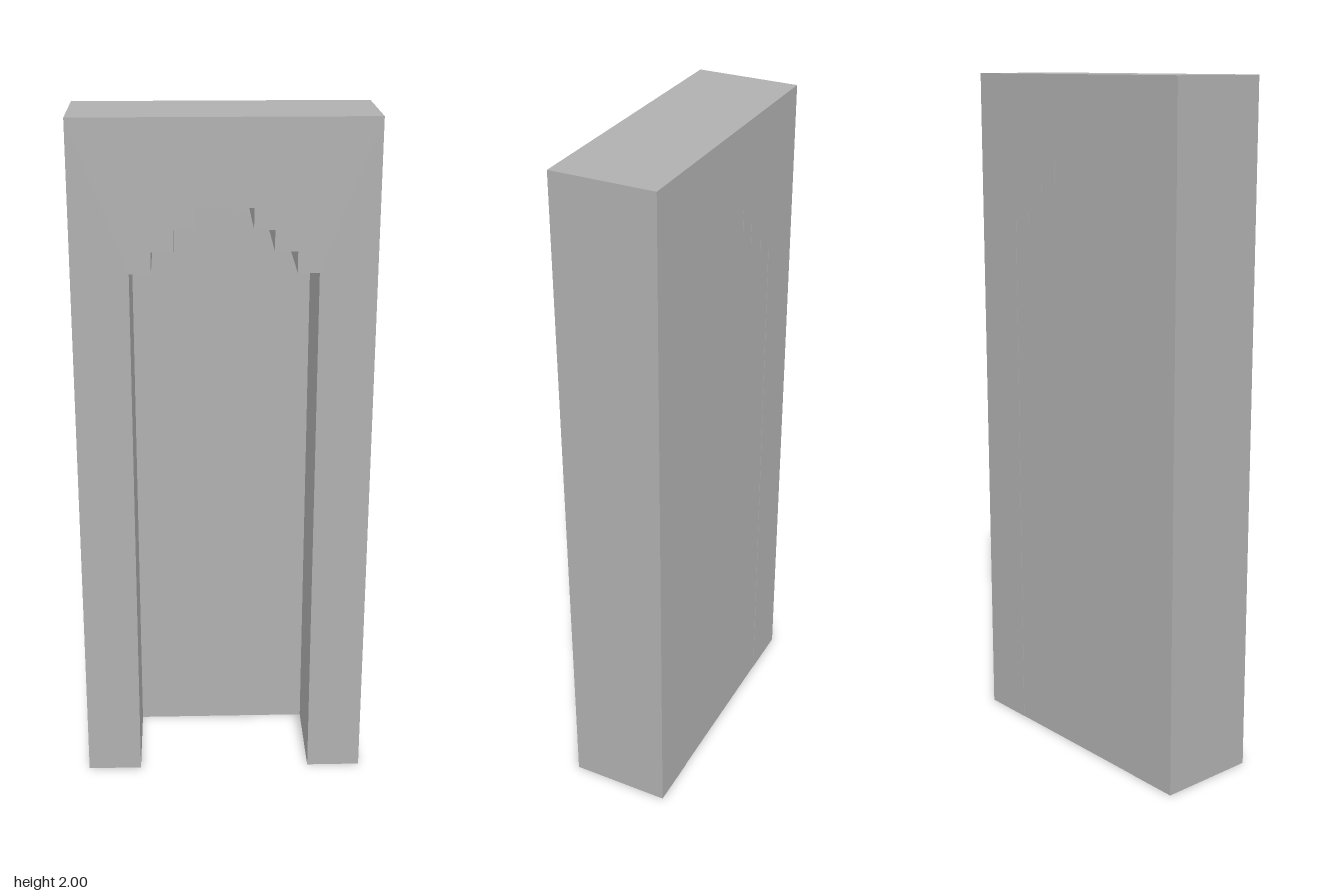
import * as THREE from 'three';

const HALF_WIDTH = 0.42, HEIGHT = 2, BACK = -0.15, FRONT = 0.148;

// Half outline of the stepped arch, from the floor up to the crown
const ARCH = [
  [0.26, 0], [0.26, 1.58], [0.2, 1.58], [0.2, 1.64],
  [0.137, 1.64], [0.137, 1.7], [0.08, 1.7], [0.08, 1.76],
];

// Full arch outline, running from +x over the crown to -x
function archPoints() {
  const left = ARCH.map(([x, y]) => new THREE.Vector2(x, y));
  const right = ARCH.map(([x, y]) => new THREE.Vector2(-x, y)).reverse();
  return [...left, ...right];
}

function extrudedPart(name, points, zStart, zEnd, material) {
  const geometry = new THREE.ExtrudeGeometry(new THREE.Shape(points), {
    depth: zEnd - zStart, bevelEnabled: false,
  });
  geometry.translate(0, 0, zStart);
  const mesh = new THREE.Mesh(geometry, material);
  mesh.name = name;
  return mesh;
}

export function createModel() {
  const stone = new THREE.MeshStandardMaterial({ color: 0xb0b0b0 });
  stone.name = 'grey stone';

  const group = new THREE.Group();
  group.name = 'steppedNiche';

  // Surround: jambs and lintel in one piece, open at the floor
  const surround = [
    ...archPoints(),
    new THREE.Vector2(-HALF_WIDTH, 0),
    new THREE.Vector2(-HALF_WIDTH, HEIGHT),
    new THREE.Vector2(HALF_WIDTH, HEIGHT),
    new THREE.Vector2(HALF_WIDTH, 0),
  ];
  group.add(extrudedPart('archSurround', surround, BACK, FRONT, stone));

  // Thin panel closing the niche, set just inside the back face
  group.add(extrudedPart('backPanel', archPoints(), BACK + 0.001, BACK + 0.008, stone));

  return group;
}
